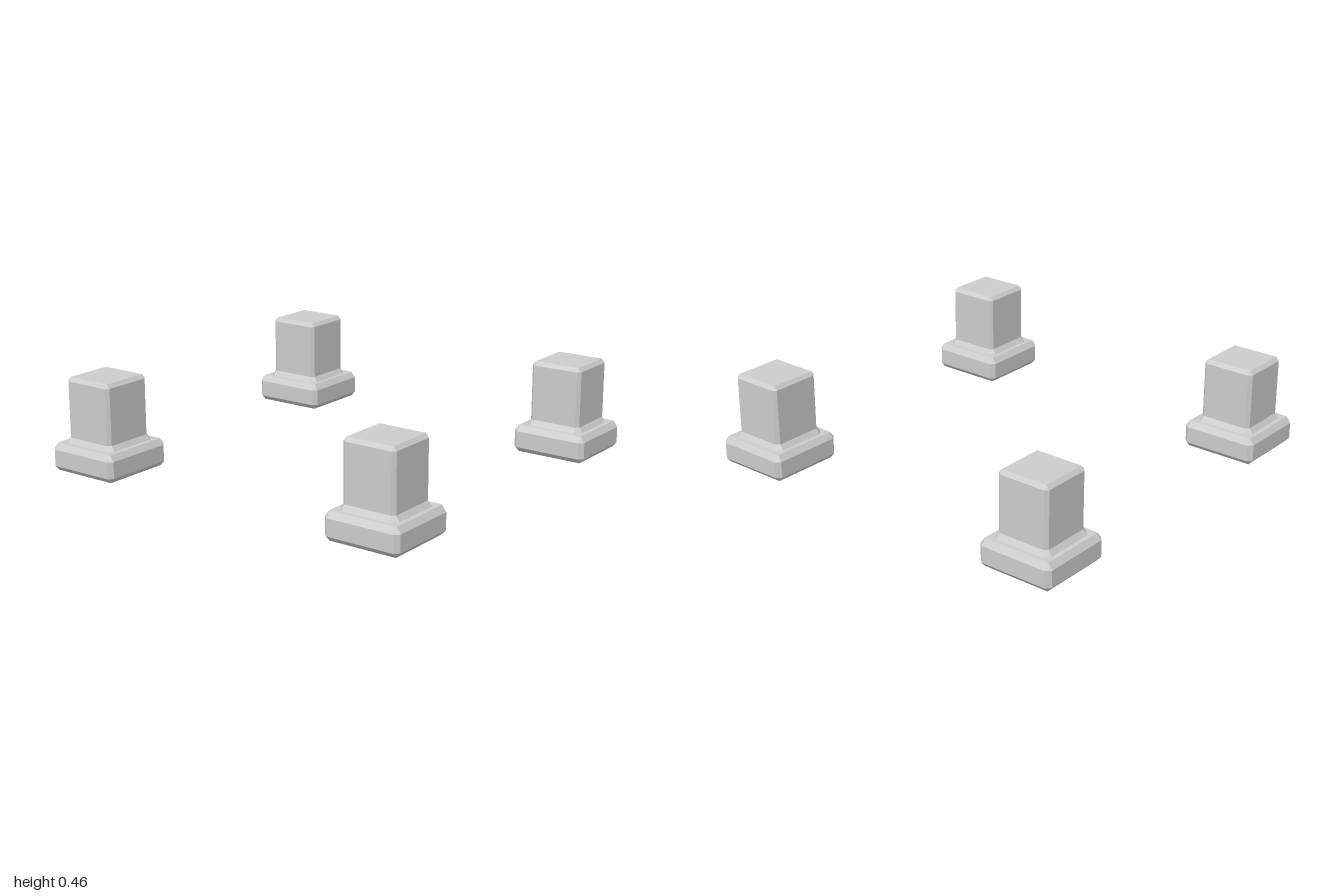
import * as THREE from 'three';

// Foot profile from bottom to top: [height, half width, corner cut]
const PROFILE = [
  [0, 0.17, 0],
  [0.025, 0.193, 0.022],
  [0.107, 0.193, 0.022],
  [0.136, 0.172, 0.004],
  [0.137, 0.152, 0.03],
  [0.162, 0.134, 0.016],
  [0.438, 0.134, 0.016],
  [0.457, 0.118, 0],
];

// Square section with cut corners, counter-clockwise seen from above
function section([y, h, c]) {
  const k = h - c;
  return [[h, k], [h, -k], [k, -h], [-k, -h], [-h, -k], [-h, k], [-k, h], [k, h]]
    .map(([x, z]) => new THREE.Vector3(x, y, z));
}

function footGeometry() {
  const pos = [];
  const tri = (a, b, c) => {
    const t = new THREE.Triangle(a, b, c);
    if (t.getArea() > 1e-8) for (const p of [a, b, c]) pos.push(p.x, p.y, p.z);
  };
  const rings = PROFILE.map(section);
  for (let r = 0; r < rings.length - 1; r++) {
    const lo = rings[r], hi = rings[r + 1];
    for (let i = 0; i < 8; i++) {
      const j = (i + 1) % 8;
      tri(lo[i], lo[j], hi[j]);
      tri(lo[i], hi[j], hi[i]);
    }
  }
  // Flat bottom and top
  const bottom = rings[0], top = rings[rings.length - 1];
  for (let i = 1; i < 7; i++) {
    tri(bottom[0], bottom[i + 1], bottom[i]);
    tri(top[0], top[i], top[i + 1]);
  }
  const geo = new THREE.BufferGeometry();
  geo.setAttribute('position', new THREE.Float32BufferAttribute(pos, 3));
  geo.computeVertexNormals();
  return geo;
}

export function createModel() {
  const group = new THREE.Group();
  group.name = 'feet';
  const material = new THREE.MeshStandardMaterial({ color: 0xcccccc, flatShading: true });
  const geo = footGeometry();
  // One foot at each corner
  for (const [sx, side] of [[1, 'Left'], [-1, 'Right']]) {
    for (const [sz, end] of [[1, 'front'], [-1, 'back']]) {
      const foot = new THREE.Mesh(geo, material);
      foot.name = `${end}${side}Foot`;
      foot.position.set(sx * 0.807, 0, sz * 0.782);
      group.add(foot);
    }
  }
  return group;
}
